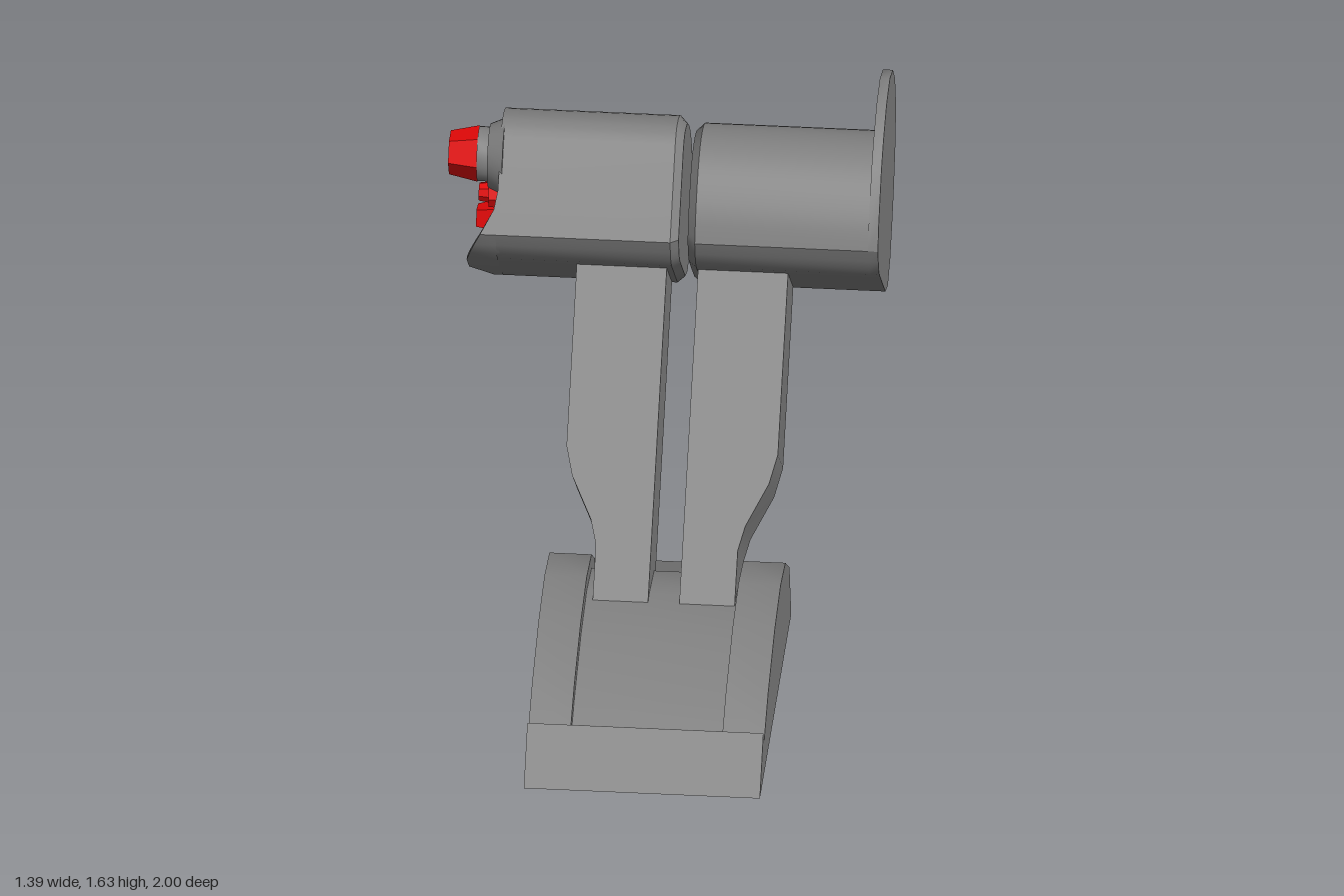
import * as THREE from 'three';
import { toCreasedNormals } from 'three/addons/utils/BufferGeometryUtils.js';

const grey = new THREE.MeshStandardMaterial({ color: 0x808080, side: THREE.DoubleSide });
const red = new THREE.MeshStandardMaterial({ color: 0xe80808 });

function add(parent, name, geometry, material = grey) {
  const mesh = new THREE.Mesh(geometry, material);
  mesh.name = name;
  parent.add(mesh);
  return mesh;
}

const sideShape = profile => new THREE.Shape(profile.map(([z, y]) => new THREE.Vector2(-z, y)));

// Flat sheet with a [z, y] outline at x
function sheet(profile, x) {
  const g = new THREE.ShapeGeometry(sideShape(profile));
  g.rotateY(Math.PI / 2);
  g.translate(x, 0, 0);
  return g;
}

// Open surface following a [z, y] line (front to back) from x0 to x1
function ribbon(line, x0, x1) {
  const pos = [], idx = [];
  line.forEach(([z, y], i) => {
    pos.push(x0, y, z, x1, y, z);
    const a = i * 2;
    if (i > 0) idx.push(a - 2, a - 1, a, a - 1, a + 1, a);
  });
  return surface(pos, idx);
}

function surface(pos, idx) {
  const g = new THREE.BufferGeometry();
  g.setAttribute('position', new THREE.Float32BufferAttribute(pos, 3));
  g.setIndex(idx);
  return toCreasedNormals(g, 0.5);
}

// Loft a [z, y] profile (seen from +x: front, top, back, bottom) through [x, scale] sections
function drum(profile, sections) {
  const n = profile.length, cz = -0.62, cy = 1.21, pos = [], idx = [];
  for (const [x, s] of sections) {
    for (const [z, y] of profile) pos.push(x, cy + (y - cy) * s, cz + (z - cz) * s);
  }
  for (let k = 0; k < sections.length - 1; k++) {
    for (let i = 0; i < n; i++) {
      const a = k * n + i, b = k * n + (i + 1) % n;
      idx.push(a, b, a + n, b, b + n, a + n);
    }
  }
  // End caps as fans around a centre point
  const last = (sections.length - 1) * n, c = pos.length / 3;
  pos.push(sections[0][0], cy, cz, sections.at(-1)[0], cy, cz);
  for (let i = 0; i < n; i++) {
    const j = (i + 1) % n;
    idx.push(c, j, i, c + 1, last + i, last + j);
  }
  return surface(pos, idx);
}

// Smooth run of points through [z, y] controls
const smooth = (pts, count) => new THREE.SplineCurve(pts.map(p => new THREE.Vector2(...p)))
  .getPoints(count).map(p => [p.x, p.y]);

// Hollow base, open underneath
function buildBase(root) {
  const base = new THREE.Group();
  base.name = 'base';
  root.add(base);
  const lip = [[1, 0], [0.87, 0.165], [0.845, 0.115]];
  const arch = [[0.69, 0.21], [0.45, 0.3], [0.23, 0.337], [0.05, 0.315]];
  const back = [[-0.1, 0.21], [-0.165, 0]];
  const deck = [[0.775, 0.11], [0.69, 0.155], [0.45, 0.248], [0.23, 0.287], [0.05, 0.265], [-0.06, 0.19]];
  const innerWall = [lip[2], ...arch, [-0.06, 0.238], ...[...deck].reverse()];
  for (const [side, outer, inner] of [['right', -0.325, -0.19], ['left', 0.43, 0.295]]) {
    add(base, side + 'OuterWall', sheet([...lip, ...arch, ...back], outer));
    add(base, side + 'InnerWall', sheet(innerWall, inner));
    add(base, side + 'Rail', ribbon([...lip, ...arch, ...back], Math.min(outer, inner), Math.max(outer, inner)));
  }
  // Front lip, sunken deck and back wall in one run
  add(base, 'deck', ribbon([...lip, ...deck, [-0.06, 0.238], ...back], -0.19, 0.295));
}

function buildArms(root) {
  const arms = new THREE.Group();
  arms.name = 'arms';
  arms.position.set(0.06, 0.281, 0.278);
  arms.rotation.x = -0.7;
  root.add(arms);
  // Outline across and along the arm, measured from the centre line of the pair
  const outline = [[0.05, 0], [0.227, 0], [0.227, 0.18], [0.247, 0.26], [0.315, 0.4], [0.338, 0.495],
    [0.338, 1.15], [0.05, 1.15]];
  for (const s of [-1, 1]) {
    const shape = new THREE.Shape(outline.map(([x, y]) => new THREE.Vector2(s * x, y)));
    const g = new THREE.ExtrudeGeometry(shape, { depth: 0.252, bevelEnabled: false });
    g.translate(0, 0, -0.252);
    // Slant the foot so that it sits on the deck
    const p = g.attributes.position;
    for (let i = 0; i < p.count; i++) {
      if (p.getY(i) < 0.01 && p.getZ(i) < -0.1) p.setY(i, 0.12);
    }
    add(arms, s < 0 ? 'rightArm' : 'leftArm', toCreasedNormals(g, 0.5));
  }
}

function buildHead(root) {
  const head = new THREE.Group();
  head.name = 'head';
  root.add(head);
  // Lower front shared by both drums and the end plate
  const chin = [[-0.61, 0.945], [-0.51, 1.03], [-0.42, 1.108], [-0.385, 1.138], [-0.36, 1.17], [-0.343, 1.21]];
  const lowerBack = [[-0.87, 1.1], [-0.81, 0.99], [-0.76, 0.94], [-0.7, 0.915]];
  const leftTop = smooth([[-0.33, 1.255], [-0.37, 1.345], [-0.44, 1.435], [-0.52, 1.49], [-0.6, 1.505],
    [-0.7, 1.485], [-0.8, 1.415], [-0.87, 1.31], [-0.9, 1.2], ...lowerBack], 36);
  const rightTop = smooth([[-0.525, 1.505], [-0.56, 1.528], [-0.61, 1.535], [-0.7, 1.51], [-0.8, 1.435],
    [-0.875, 1.32], [-0.905, 1.2], ...lowerBack], 32);
  add(head, 'leftDrum', drum([...leftTop, ...chin], [[0.082, 0.91], [0.107, 1], [0.665, 1]]));
  add(head, 'rightDrum', drum([[-0.33, 1.255], ...rightTop, ...chin], [[-0.53, 1], [0.028, 1], [0.053, 0.91]]));

  const plate = [[-0.33, 1.255], [-0.355, 1.33], [-0.46, 1.48], [-0.535, 1.545], [-0.65, 1.61],
    [-0.775, 1.635], [-0.89, 1.6], [-0.965, 1.525], [-1, 1.415], [-0.985, 1.29], [-0.92, 1.145],
    [-0.865, 1.06], [-0.79, 0.965], [-0.7, 0.915], ...chin];
  const plateGeo = new THREE.ExtrudeGeometry(sideShape(plate), { depth: 0.032, bevelEnabled: false });
  plateGeo.rotateY(Math.PI / 2);
  plateGeo.translate(0.661, 0, 0);
  add(head, 'endPlate', toCreasedNormals(plateGeo, 0.5));

  // Raised lip around the lower front of the control end: z, y, outer x
  const lip = [[-0.42, 1.37, -0.53], [-0.38, 1.32, -0.54], [-0.33, 1.255, -0.58], [-0.343, 1.21, -0.6],
    [-0.36, 1.17, -0.615], [-0.42, 1.108, -0.63], [-0.51, 1.03, -0.63], [-0.61, 0.945, -0.56],
    [-0.7, 0.915, -0.53]];
  const pos = [], idx = [];
  lip.forEach(([z, y, x], i) => {
    const iz = z + (-0.62 - z) * 0.06, iy = y + (1.21 - y) * 0.06;
    pos.push(-0.52, y, z, x, y, z, x, iy, iz, -0.52, iy, iz);
    if (i === 0) return;
    for (let k = 0; k < 3; k++) {
      const a = (i - 1) * 4 + k, b = i * 4 + k;
      idx.push(a, b, a + 1, a + 1, b, b + 1);
    }
  });
  add(head, 'controlLip', surface(pos, idx));
}

function buildControls(root) {
  const controls = new THREE.Group();
  controls.name = 'controls';
  root.add(controls);
  // Round part pointing to -x, from x0 (radius r0) to x1 (radius r1)
  const round = (name, z, y, x0, x1, r0, r1, sides, material) => {
    const geo = new THREE.CylinderGeometry(r1, r0, x0 - x1, sides);
    geo.rotateZ(Math.PI / 2);
    geo.translate((x0 + x1) / 2, y, z);
    add(controls, name, toCreasedNormals(geo, 0.5), material);
  };
  round('dialFlange', -0.575, 1.405, -0.52, -0.57, 0.125, 0.103, 20, grey);
  round('dialCollar', -0.575, 1.41, -0.57, -0.605, 0.088, 0.088, 20, grey);
  round('mainDial', -0.575, 1.41, -0.605, -0.697, 0.09, 0.07, 6, red);
  round('smallKnobBase', -0.6, 1.255, -0.52, -0.572, 0.05, 0.05, 8, red);
  round('smallKnob', -0.6, 1.255, -0.572, -0.605, 0.035, 0.03, 8, red);
  // Wedge levers, tapered towards their outer face
  const lever = (name, z, y, length, height, tilt) => {
    const geo = new THREE.BoxGeometry(0.1, height, length);
    const p = geo.attributes.position;
    for (let i = 0; i < p.count; i++) {
      if (p.getX(i) < 0) p.setXYZ(i, p.getX(i), p.getY(i) * 0.7, p.getZ(i) * 0.5 + 0.02);
    }
    geo.computeVertexNormals();
    const mesh = add(controls, name, geo, red);
    mesh.position.set(-0.57, y, z);
    mesh.rotation.x = tilt;
  };
  lever('upperLever', -0.825, 1.235, 0.17, 0.09, -0.2);
  lever('lowerLever', -0.71, 1.11, 0.13, 0.08, -0.2);
}

export function createModel() {
  const root = new THREE.Group();
  root.name = 'tiltedHeadOnStand';
  buildBase(root);
  buildArms(root);
  buildHead(root);
  buildControls(root);
  return root;
}
